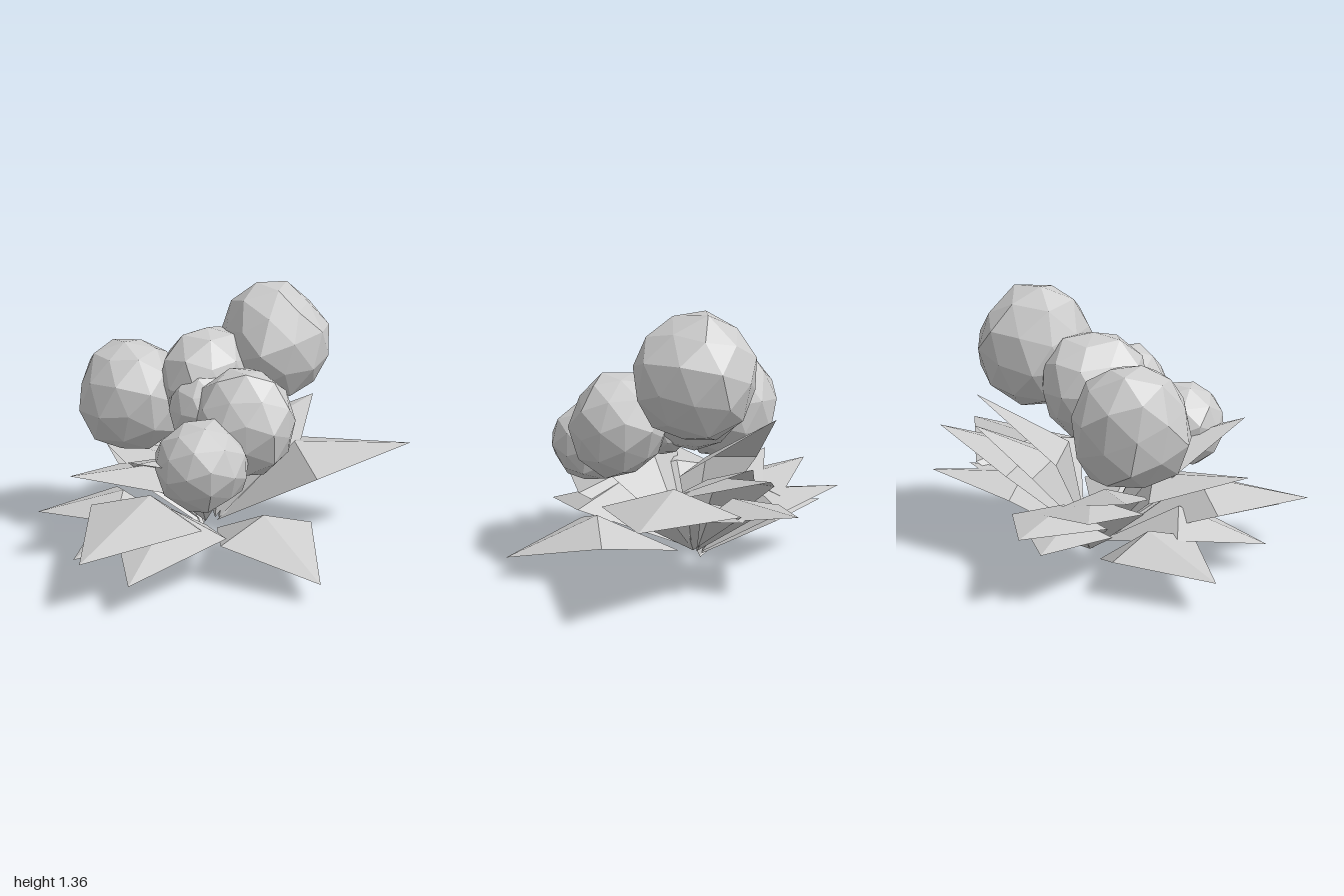
import * as THREE from 'three';

const grey = new THREE.MeshStandardMaterial({ color: 0xcccccc, flatShading: true, side: THREE.DoubleSide });

// Small repeatable wobble, the same for coincident corners
const wobble = (x, y, z, seed) => {
  const s = Math.sin(Math.round(x * 100) * 12.99 + Math.round(y * 100) * 78.23 + Math.round(z * 100) * 37.72 + seed * 5.1) * 437.58;
  return s - Math.floor(s) - 0.5;
};

// Faceted, uneven berry
function berry([x, y, z, rx, ry, rz], seed) {
  const geo = new THREE.IcosahedronGeometry(1, 1);
  const p = geo.attributes.position;
  const v = new THREE.Vector3();
  for (let i = 0; i < p.count; i++) {
    v.fromBufferAttribute(p, i);
    v.multiplyScalar(1 + 0.12 * wobble(v.x, v.y, v.z, seed));
    p.setXYZ(i, v.x, v.y, v.z);
  }
  geo.rotateX(seed * 0.7).rotateY(seed * 1.3).scale(rx, ry, rz);
  geo.computeVertexNormals();
  const mesh = new THREE.Mesh(geo, grey);
  mesh.name = 'berry';
  mesh.position.set(x, y, z);
  return mesh;
}

// Kite-shaped leaf, folded along its rib and bent down to the tip
function leaf([bx, by, bz, tx, ty, tz]) {
  const base = new THREE.Vector3(bx, by, bz);
  const tip = new THREE.Vector3(tx, ty, tz);
  const along = tip.clone().sub(base);
  const half = along.length() * 0.305;
  const rise = along.length() * 0.23;
  const side = new THREE.Vector3(along.z, 0, -along.x).normalize();
  const up = along.clone().cross(side).normalize();
  const rib = base.clone().lerp(tip, 0.49).addScaledVector(up, rise);
  const wide = base.clone().lerp(tip, 0.52).addScaledVector(up, rise * 0.56);
  const a = wide.clone().addScaledVector(side, half);
  const b = wide.clone().addScaledVector(side, -half);
  const geo = new THREE.BufferGeometry().setFromPoints([base, a, rib, base, rib, b, rib, a, tip, rib, tip, b]);
  geo.computeVertexNormals();
  const mesh = new THREE.Mesh(geo, grey);
  mesh.name = 'leaf';
  return mesh;
}

export function createModel() {
  const model = new THREE.Group();
  model.name = 'berryPlant';

  // Berries: centre, then radii
  const berries = new THREE.Group();
  berries.name = 'berries';
  [
    [0.26, 1.05, -0.25, 0.29, 0.31, 0.31],
    [-0.49, 0.78, -0.2, 0.28, 0.31, 0.28],
    [-0.09, 0.88, -0.14, 0.25, 0.28, 0.28],
    [0.11, 0.76, 0.19, 0.255, 0.27, 0.25],
    [-0.11, 0.61, 0.42, 0.23, 0.22, 0.23],
    [-0.1, 0.78, 0.04, 0.19, 0.21, 0.18],
  ].forEach((b, i) => berries.add(berry(b, i + 1)));

  // Leaves: base, then tip
  const leaves = new THREE.Group();
  leaves.name = 'leaves';
  [
    // Outer ring
    [-0.04, 0.08, -0.16, 1.0, 0.5, -0.23],
    [-0.04, 0.07, -0.08, 0.45, 0.11, 0.68],
    [-0.1, 0.08, -0.1, -0.44, 0.17, 0.82],
    [-0.13, 0.07, -0.1, -0.66, 0.275, 0.81],
    [-0.17, 0.0, -0.16, -1.0, 0.155, -0.1],
    [-0.13, 0.08, -0.13, -0.74, 0.13, 0.45],
    [-0.13, 0.05, -0.18, -0.72, 0.46, -0.6],
    [-0.11, 0.05, -0.18, -0.51, 0.37, -0.83],
    [-0.11, 0.04, -0.18, -0.53, 0.28, -0.73],
    [-0.03, 0.08, -0.18, 0.4, 0.45, -0.8],
    // Inner, steeper leaves
    [-0.03, 0.1, -0.17, 0.51, 0.64, -0.69],
    [-0.03, 0.1, -0.15, 0.47, 0.42, -0.55],
    [-0.03, 0.1, -0.15, 0.36, 0.65, -0.57],
    [-0.05, 0.1, -0.15, 0.2, 0.86, -0.64],
    [-0.13, 0.1, -0.12, -0.76, 0.51, 0.3],
    [-0.1, 0.1, -0.1, -0.4, 0.68, 0.59],
    [-0.13, 0.1, -0.16, -0.7, 0.5, -0.38],
  ].forEach((l) => leaves.add(leaf(l)));

  model.add(berries, leaves);
  return model;
}
